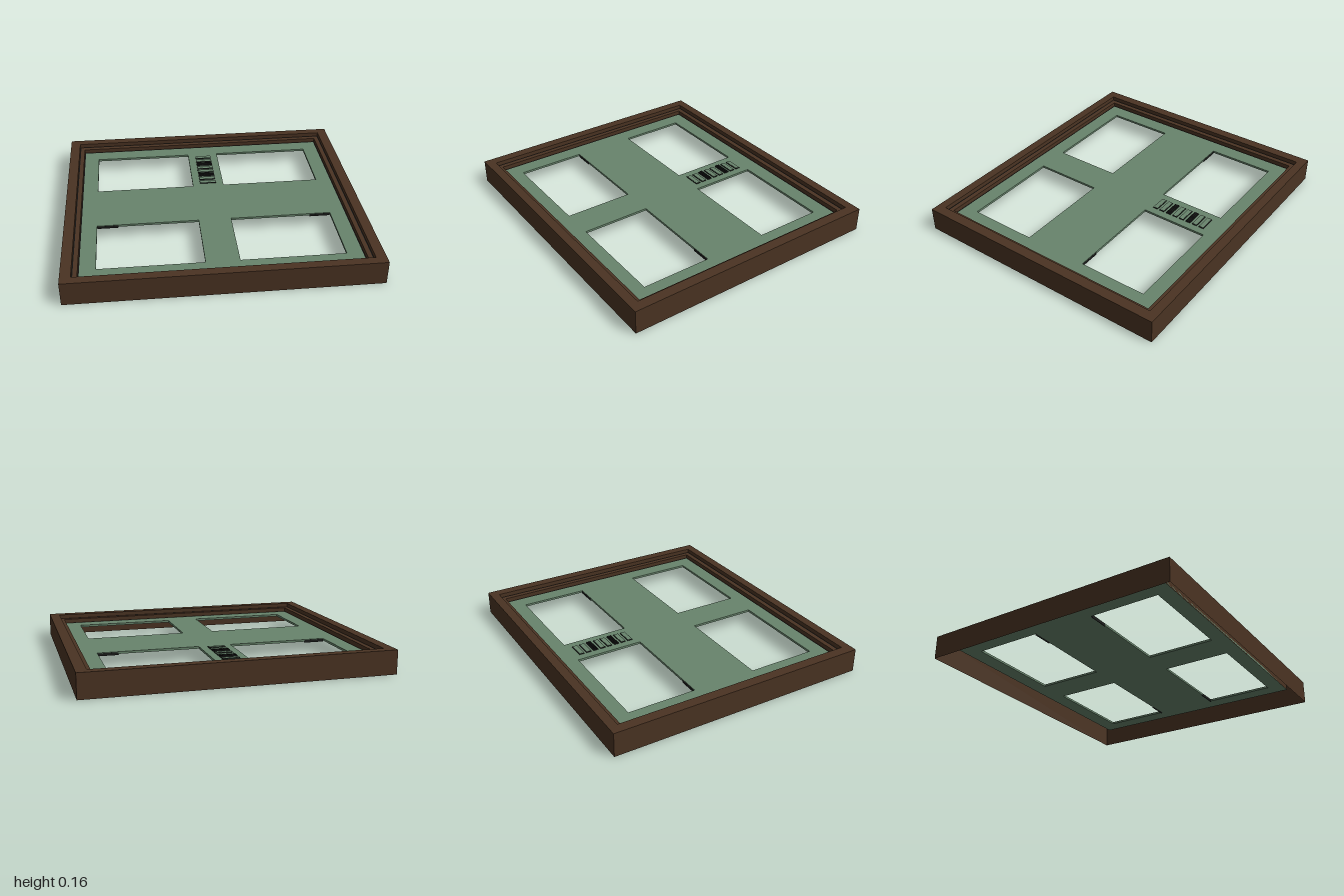
import * as THREE from 'three';

export function createModel() {
  const group = new THREE.Group();
  const wood = new THREE.MeshStandardMaterial({ color: 0x4a3322, side: THREE.DoubleSide });
  const green = new THREE.MeshStandardMaterial({ color: 0x68846c });
  const black = new THREE.MeshStandardMaterial({ color: 0x191a19 });
  wood.name = 'dark wood';
  green.name = 'sage green';
  black.name = 'black';

  const add = (name, geometry, material) => {
    const mesh = new THREE.Mesh(geometry, material);
    mesh.name = name;
    group.add(mesh);
    return mesh;
  };
  const box = (name, w, h, d, x, y, z, material) =>
    add(name, new THREE.BoxGeometry(w, h, d), material).position.set(x, y, z);

  // Rectangular moulding: quads between successive rectangles [half x, y, half z]
  const moulding = (profile) => {
    const pos = [];
    const corner = ([x, y, z], i) => [[x, y, z], [x, y, -z], [-x, y, -z], [-x, y, z]][i % 4];
    for (let p = 0; p < profile.length - 1; p++) {
      for (let i = 0; i < 4; i++) {
        const a = corner(profile[p], i), b = corner(profile[p], i + 1);
        const c = corner(profile[p + 1], i + 1), d = corner(profile[p + 1], i);
        pos.push(...a, ...b, ...c, ...a, ...c, ...d);
      }
    }
    const g = new THREE.BufferGeometry();
    g.setAttribute('position', new THREE.Float32BufferAttribute(pos, 3));
    g.computeVertexNormals();
    return g;
  };

  // Frame: thin outer wall, flat rim and a stepped inner lip, open underneath
  add('frame', moulding([
    [1, 0, 0.885], [1, 0.16, 0.885], [0.932, 0.16, 0.825],
    [0.932, 0.13, 0.825], [0.898, 0.13, 0.79], [0.898, 0.085, 0.79],
  ]), wood);

  // Dark shadow gaps along the step and the panel edge
  for (const [x, z, y] of [[0.932, 0.825, 0.131], [0.898, 0.79, 0.101]]) {
    add('shadowGap', moulding([[x, y, z], [x - 0.006, y, z - 0.006]]), black);
  }

  // Panel with four rectangular openings
  const rect = (Type, x0, x1, y0, y1) => {
    const s = new Type();
    s.moveTo(x0, y0).lineTo(x1, y0).lineTo(x1, y1).lineTo(x0, y1).closePath();
    return s;
  };
  const shape = rect(THREE.Shape, -0.898, 0.898, -0.79, 0.79);
  for (const [x0, x1] of [[-0.79, -0.11], [0.11, 0.79]]) {
    shape.holes.push(rect(THREE.Path, x0, x1, 0.22, 0.68));
    shape.holes.push(rect(THREE.Path, x0, x1, -0.685, -0.217));
  }
  const panel = new THREE.ExtrudeGeometry(shape, { depth: 0.015, bevelEnabled: false });
  panel.rotateX(-Math.PI / 2).translate(0, 0.085, 0);
  add('panel', panel, green);

  // Small black clips on the inner edges of the openings
  for (const sx of [-1, 1]) {
    for (const z of [-0.219, 0.216]) {
      box('edgeClip', 0.14, 0.018, 0.004, sx * 0.72, 0.087, z, black);
    }
  }

  // Row of eight slots: outlined green plates, two of them black grilles
  for (let i = 0; i < 8; i++) {
    const z = -0.628 + i * 0.0515;
    box('slotOutline', 0.115, 0.006, 0.035, 0, 0.102, z, black);
    if (i === 2 || i === 5) {
      for (const dz of [-0.011, 0, 0.011]) {
        box('grilleBar', 0.11, 0.006, 0.006, 0, 0.107, z + dz, black);
      }
    } else {
      box('slotPlate', 0.108, 0.004, 0.028, 0, 0.1045, z, green);
    }
  }

  return group;
}
